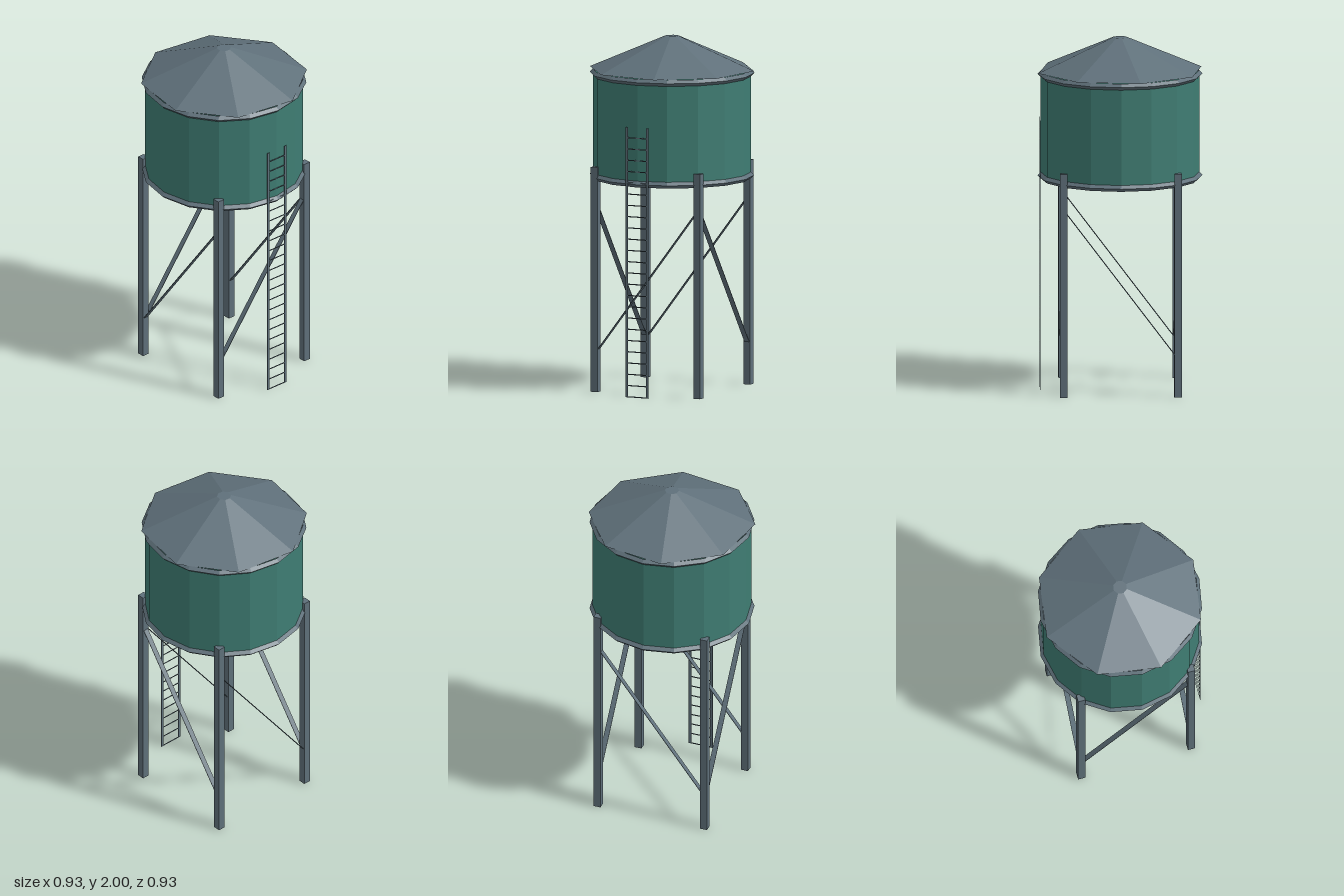
import * as THREE from 'three';

const steel = new THREE.MeshStandardMaterial({ color: 0x5f707a, flatShading: true });
const green = new THREE.MeshStandardMaterial({ color: 0x3f7d73, flatShading: true });

function add(parent, name, geometry, material, x = 0, y = 0, z = 0) {
  const mesh = new THREE.Mesh(geometry, material);
  mesh.name = name;
  mesh.position.set(x, y, z);
  parent.add(mesh);
  return mesh;
}

export function createModel() {
  const model = new THREE.Group();
  model.name = 'waterTower';

  // Tank with a diamond-section hoop at each rim
  add(model, 'tank', new THREE.CylinderGeometry(0.446, 0.446, 0.605, 16), green, 0, 1.4995, 0);
  for (const [name, y] of [['bottomHoop', 1.213], ['topHoop', 1.793]]) {
    const hoop = new THREE.TorusGeometry(0.446, 0.018, 4, 16).rotateX(Math.PI / 2);
    add(model, name, hoop, steel, 0, y, 0);
  }

  // Eight-sided roof, turned a little against the tank
  const roof = new THREE.CylinderGeometry(0.04, 0.473, 0.187, 8).rotateY(0.235);
  add(model, 'roof', roof, steel, 0, 1.9065, 0);

  // Legs
  const legs = new THREE.Group();
  legs.name = 'legs';
  model.add(legs);
  for (const x of [-0.321, 0.321]) {
    for (const z of [-0.321, 0.321]) {
      add(legs, 'leg', new THREE.BoxGeometry(0.042, 1.276, 0.042), steel, x, 0.638, z);
    }
  }

  // One flat diagonal strap on each side, rising to the front and to the left
  const braces = new THREE.Group();
  braces.name = 'braces';
  model.add(braces);
  const run = 0.64, rise = 0.848;
  const length = Math.hypot(run, rise), slope = Math.atan2(rise, run);
  for (const side of [-0.321, 0.321]) {
    const across = new THREE.BoxGeometry(length, 0.003, 0.03).rotateZ(slope);
    add(braces, 'crossBrace', across, steel, 0, 0.643, side);
    const along = new THREE.BoxGeometry(0.03, 0.003, length).rotateX(-slope);
    add(braces, 'sideBrace', along, steel, side, 0.643, 0);
  }

  // Ladder of thin flat strips
  const ladder = new THREE.Group();
  ladder.name = 'ladder';
  ladder.position.z = 0.45;
  model.add(ladder);
  for (const x of [-0.064, 0.064]) {
    add(ladder, 'ladderRail', new THREE.BoxGeometry(0.016, 1.534, 0.003), steel, x, 0.767, 0);
  }
  for (let i = 0; i < 24; i++) {
    add(ladder, 'rung', new THREE.BoxGeometry(0.124, 0.006, 0.002), steel, 0, 0.003 + i * 0.064, 0);
  }

  return model;
}
